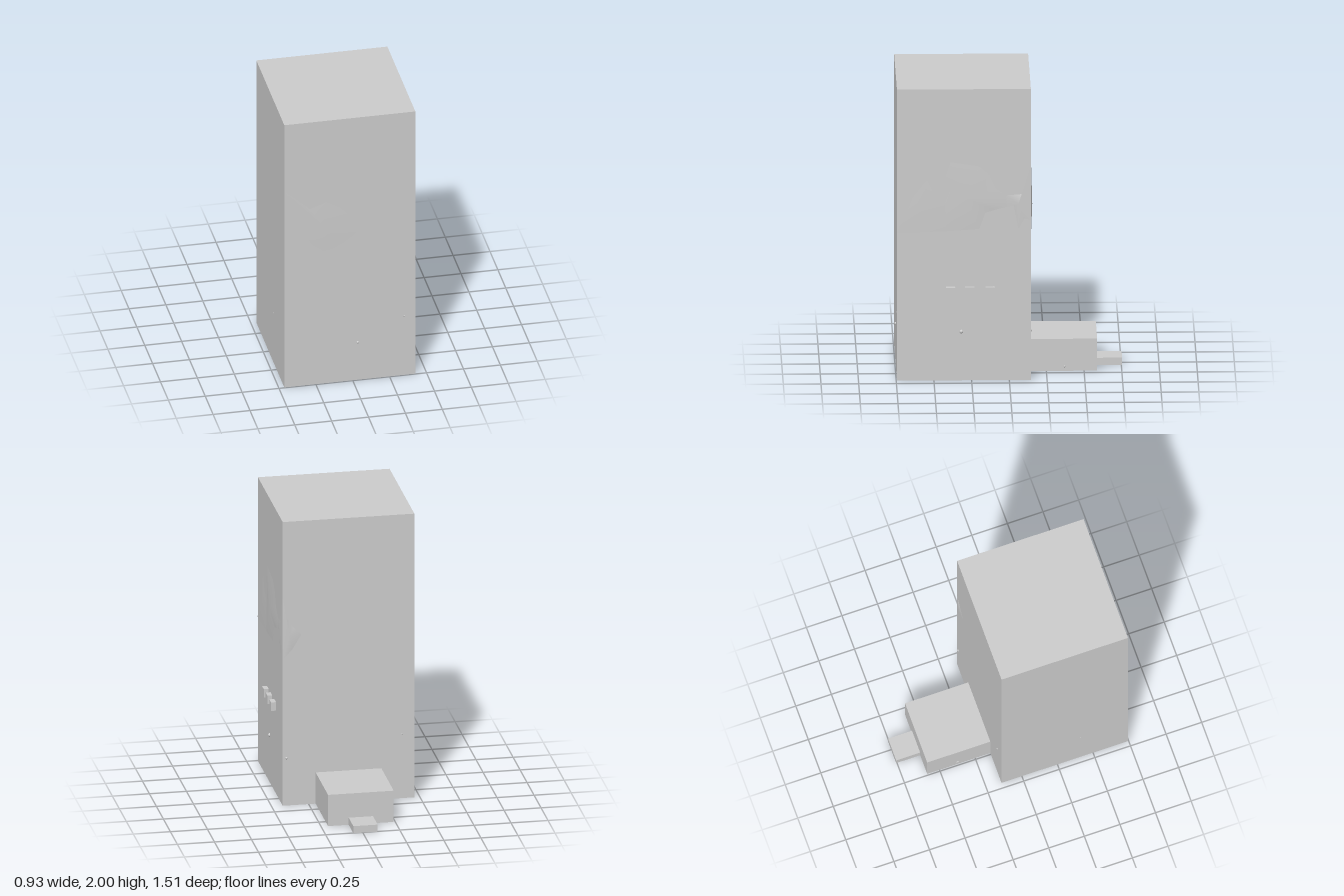
import * as THREE from 'three';

export function createModel() {
  const model = new THREE.Group();
  const grey = new THREE.MeshStandardMaterial({ color: 0xcccccc, side: THREE.DoubleSide });

  // Box given by its min and max corners
  function block(name, [x0, y0, z0], [x1, y1, z1]) {
    const mesh = new THREE.Mesh(new THREE.BoxGeometry(x1 - x0, y1 - y0, z1 - z0), grey);
    mesh.name = name;
    mesh.position.set((x0 + x1) / 2, (y0 + y1) / 2, (z0 + z1) / 2);
    model.add(mesh);
  }

  // Tower, rear annex and doorstep
  block('tower', [-0.463, 0, -0.143], [0.425, 2, 0.745]);
  block('annex', [-0.24, 0, -0.587], [0.203, 0.22, -0.143]);
  block('doorstep', [-0.1, 0, -0.755], [0.064, 0.05, -0.587]);

  // Row of three blocks on the left wall
  for (const z of [0.39, 0.263, 0.128]) {
    block('wallBlock', [0.42, 0.585, z - 0.031], [0.458, 0.645, z + 0.031]);
  }

  // Shallow smooth swelling: a fan from a raised centre to a counterclockwise rim
  function swelling(name, angle, depth, centre, height, rim) {
    const positions = [...centre, depth + height];
    const index = [];
    rim.forEach(([u, v], i) => {
      positions.push(u, v, depth + 0.002);
      index.push(0, i + 1, ((i + 1) % rim.length) + 1);
    });
    const geometry = new THREE.BufferGeometry();
    geometry.setAttribute('position', new THREE.Float32BufferAttribute(positions, 3));
    geometry.setIndex(index);
    geometry.computeVertexNormals();
    const mesh = new THREE.Mesh(geometry, grey);
    mesh.name = name;
    mesh.rotation.y = angle;
    model.add(mesh);
  }

  // Front wall
  swelling('frontSwelling', 0, 0.745, [-0.2, 1.2], 0.006, [
    [-0.455, 1.49], [-0.35, 1.19], [-0.28, 1.07], [-0.2, 1.01], [-0.14, 1.02],
    [-0.06, 1.06], [0.025, 1.12], [-0.01, 1.26], [-0.09, 1.33], [-0.18, 1.38], [-0.29, 1.34]]);

  // Left wall: sail, main swelling and the part reaching the rear corner
  const side = Math.PI / 2;
  swelling('sailSwelling', side, 0.425, [-0.58, 1.17], 0.006, [
    [-0.745, 1.015], [-0.42, 1.025], [-0.42, 1.23], [-0.5, 1.29], [-0.545, 1.38], [-0.64, 1.26]]);
  swelling('sideSwelling', side, 0.425, [-0.28, 1.25], 0.011, [
    [-0.42, 1.025], [-0.2, 1.04], [-0.16, 1.15], [-0.1, 1.17], [-0.02, 1.19], [-0.02, 1.27],
    [-0.09, 1.32], [-0.13, 1.41], [-0.2, 1.47], [-0.39, 1.5], [-0.425, 1.4], [-0.4, 1.29], [-0.43, 1.22]]);
  swelling('cornerSwelling', side, 0.425, [0.06, 1.21], 0.006, [
    [-0.02, 1.19], [0.03, 1.2], [0.06, 1.04], [0.1, 1.11], [0.143, 1.1],
    [0.143, 1.47], [0.11, 1.28], [-0.02, 1.27]]);

  // Rear wall, beside the left corner
  swelling('rearSwelling', Math.PI, 0.143, [-0.38, 1.2], 0.01, [
    [-0.425, 1.47], [-0.425, 1.03], [-0.36, 1.1], [-0.3, 1.2], [-0.35, 1.25], [-0.4, 1.32]]);

  // Small round studs on the walls: x, y, z, radius
  const studs = [
    [0.035, 0.287, 0.745, 0.01], [0.35, 0.45, 0.745, 0.005], [0.425, 0.335, 0.318, 0.013],
    [0.4, 0.335, -0.143, 0.009], [-0.38, 0.45, -0.143, 0.006], [-0.463, 0.38, 0.41, 0.004],
    [-0.24, 0.035, -0.37, 0.015], [0.203, 0.03, -0.37, 0.006]];
  for (const [x, y, z, r] of studs) {
    const stud = new THREE.Mesh(new THREE.SphereGeometry(r, 10, 8), grey);
    stud.name = 'stud';
    stud.position.set(x, y, z);
    // Flatten against the annex walls
    if (z < -0.2) stud.scale.x = 0.3;
    model.add(stud);
  }
  return model;
}
